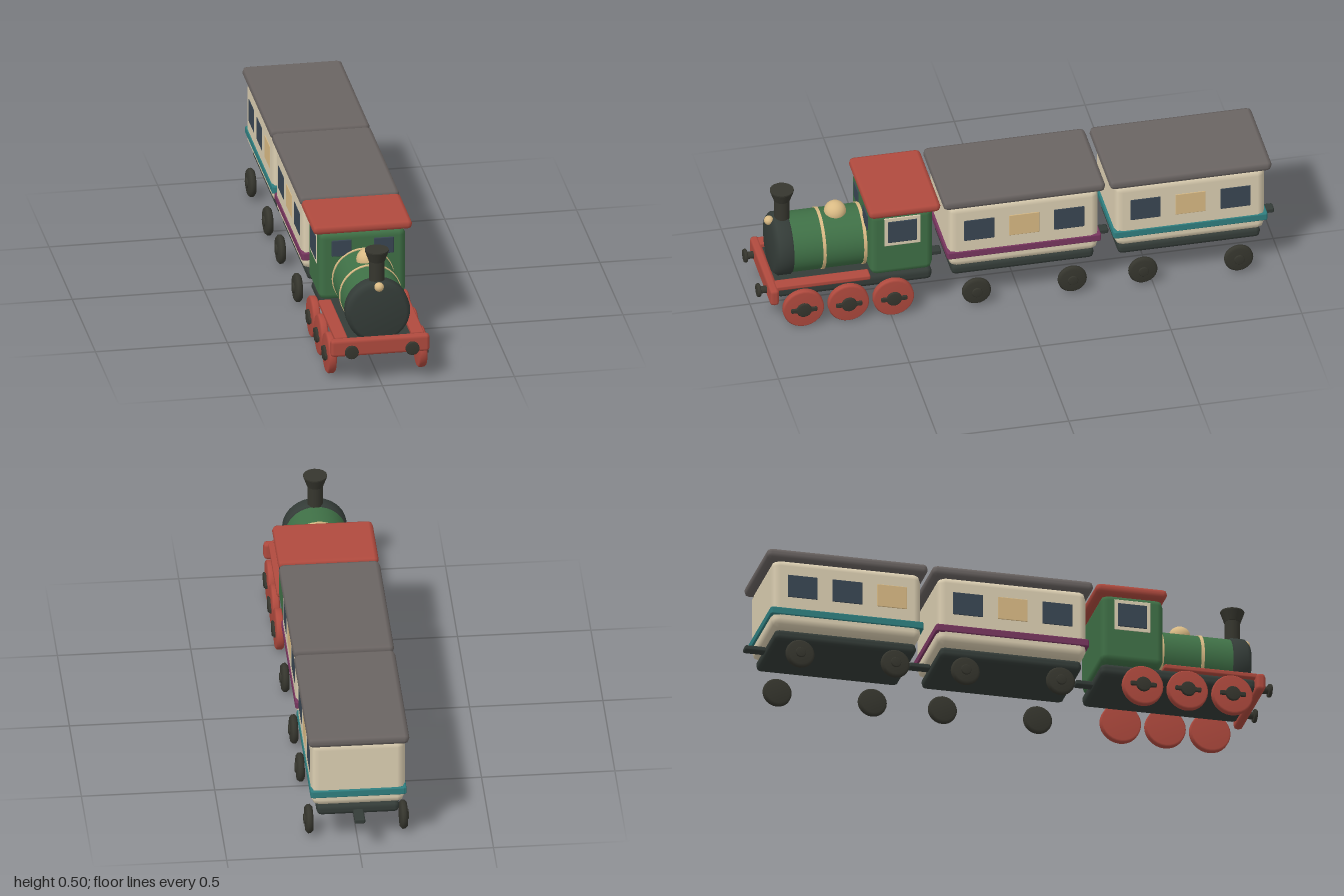
import * as THREE from 'three';
import { RoundedBoxGeometry } from 'three/addons/geometries/RoundedBoxGeometry.js';

const mat = (name, color) => {
  const m = new THREE.MeshStandardMaterial({ color });
  m.name = name;
  return m;
};

export function createModel() {
  const M = {
    green: mat('engine green', 0x3f7046),
    red: mat('engine red', 0xb04a3e),
    iron: mat('black iron', 0x36362e),
    chassis: mat('chassis grey green', 0x343c38),
    cream: mat('coach cream', 0xdccfb2),
    gold: mat('brass', 0xd9ba84),
    roof: mat('roof grey', 0x6a6462),
    glass: mat('dark glass', 0x394653),
    purple: mat('purple trim', 0x78365f),
    teal: mat('teal trim', 0x2f7f80),
  };

  const add = (parent, name, geo, material, x = 0, y = 0, z = 0) => {
    const mesh = new THREE.Mesh(geo, material);
    mesh.name = name;
    mesh.position.set(x, y, z);
    parent.add(mesh);
    return mesh;
  };
  const group = (parent, name, z = 0) => {
    const g = new THREE.Group();
    g.name = name;
    g.position.z = z;
    parent.add(g);
    return g;
  };
  // box with softly chamfered edges
  const soft = (w, h, d, r) => new RoundedBoxGeometry(w, h, d, 1, r);
  // disc with chamfered rims, turned around the y axis
  const disc = (r, len, c, seg = 28) => {
    const h = len / 2;
    return new THREE.LatheGeometry([
      [0, -h], [r - c, -h], [r, -h + c], [r, h - c], [r - c, h], [0, h],
    ].map(([a, b]) => new THREE.Vector2(a, b)), seg);
  };
  const alongX = (g) => g.rotateZ(-Math.PI / 2);
  const alongZ = (g) => g.rotateX(Math.PI / 2);

  const train = new THREE.Group();
  train.name = 'train';

  // ---------- locomotive ----------
  const loco = group(train, 'locomotive');
  add(loco, 'engineFrame', soft(0.31, 0.05, 0.6, 0.02), M.chassis, 0, 0.145, 0.635);
  add(loco, 'bufferBeam', soft(0.376, 0.07, 0.036, 0.014), M.red, 0, 0.145, 0.944);
  for (const s of [-1, 1]) {
    add(loco, 'runningBoard', soft(0.05, 0.02, 0.36, 0.006), M.red, s * 0.145, 0.174, 0.755);
    add(loco, 'bufferStem', alongZ(disc(0.014, 0.04, 0.002, 16)), M.iron, s * 0.115, 0.143, 0.973);
    add(loco, 'bufferHead', alongZ(disc(0.026, 0.014, 0.003, 20)), M.iron, s * 0.115, 0.143, 0.993);
    for (const z of [0.834, 0.662, 0.49]) {
      add(loco, 'drivingWheel', alongX(disc(0.078, 0.031, 0.006)), M.red, s * 0.172, 0.08, z);
      add(loco, 'wheelHub', alongX(disc(0.029, 0.02, 0.004, 16)), M.iron, s * 0.188, 0.08, z);
      add(loco, 'crankBar', soft(0.012, 0.018, 0.1, 0.004), M.iron, s * 0.19, 0.08, z);
    }
  }

  // boiler, smokebox and brass bands
  add(loco, 'boiler', alongZ(new THREE.CylinderGeometry(0.115, 0.115, 0.32, 36)), M.green, 0, 0.265, 0.72);
  add(loco, 'smokebox', alongZ(disc(0.121, 0.085, 0.018, 36)), M.chassis, 0, 0.265, 0.885);
  for (const z of [0.738, 0.582]) {
    add(loco, 'boilerBand', alongZ(new THREE.CylinderGeometry(0.118, 0.118, 0.012, 36)), M.gold, 0, 0.265, z);
  }
  add(loco, 'steamDome', new THREE.SphereGeometry(0.042, 24, 16), M.gold, 0, 0.378, 0.675);
  add(loco, 'headlamp', new THREE.SphereGeometry(0.018, 16, 12), M.gold, 0, 0.373, 0.928);
  add(loco, 'chimneyStem', new THREE.CylinderGeometry(0.029, 0.029, 0.12, 24), M.iron, 0, 0.41, 0.878);
  add(loco, 'chimneyFlare', new THREE.CylinderGeometry(0.045, 0.031, 0.04, 24), M.iron, 0, 0.481, 0.878);
  add(loco, 'chimneyRim', new THREE.CylinderGeometry(0.045, 0.045, 0.005, 24), M.iron, 0, 0.503, 0.878);

  // cab
  add(loco, 'cab', soft(0.33, 0.275, 0.24, 0.026), M.green, 0, 0.312, 0.455);
  add(loco, 'cabRoof', soft(0.378, 0.038, 0.275, 0.018), M.red, 0, 0.464, 0.447);
  for (const s of [-1, 1]) {
    add(loco, 'cabFrontWindow', soft(0.075, 0.065, 0.008, 0.003), M.glass, s * 0.08, 0.387, 0.575);
    add(loco, 'cabWindowFrame', soft(0.008, 0.125, 0.14, 0.003), M.cream, s * 0.162, 0.367, 0.453);
    add(loco, 'cabSideWindow', soft(0.008, 0.095, 0.112, 0.003), M.glass, s * 0.165, 0.367, 0.453);
  }

  // ---------- coaches ----------
  // lit: index of the glowing window on the right (-x) and left (+x) sides, from the front
  const buildCoach = (name, z, trim, litRight, litLeft) => {
    const coach = group(train, name, z);
    add(coach, 'coachChassis', soft(0.31, 0.044, 0.546, 0.018), M.chassis, 0, 0.147, 0);
    add(coach, 'coachBody', soft(0.352, 0.275, 0.574, 0.03), M.cream, 0, 0.311, 0);
    add(coach, 'coachRoof', soft(0.38, 0.042, 0.62, 0.019), M.roof, 0, 0.464, 0);
    for (const s of [-1, 1]) {
      add(coach, 'sideTrim', soft(0.014, 0.03, 0.585, 0.005), trim, s * 0.173, 0.232, 0);
      add(coach, 'endTrim', soft(0.35, 0.03, 0.016, 0.005), trim, 0, 0.232, s * 0.287);
      [0.172, 0, -0.172].forEach((wz, i) => {
        const lit = i === (s < 0 ? litRight : litLeft);
        add(coach, lit ? 'litWindow' : 'coachWindow', soft(0.008, 0.092, 0.116, 0.003),
          lit ? M.gold : M.glass, s * 0.174, 0.338, wz);
      });
      for (const wz of [0.183, -0.183]) {
        add(coach, 'coachWheel', alongX(disc(0.055, 0.028, 0.009, 24)), M.iron, s * 0.177, 0.062, wz);
        add(coach, 'coachWheelHub', alongX(disc(0.02, 0.012, 0.003, 14)), M.iron, s * 0.191, 0.062, wz);
      }
    }
  };
  buildCoach('frontCoach', -0.01, M.purple, 1, 1);
  buildCoach('rearCoach', -0.646, M.teal, 0, 1);

  // couplings
  for (const z of [0.312, -0.327, -0.96]) {
    add(train, 'coupling', soft(0.04, 0.02, 0.08, 0.006), M.chassis, 0, 0.143, z);
  }
  return train;
}
